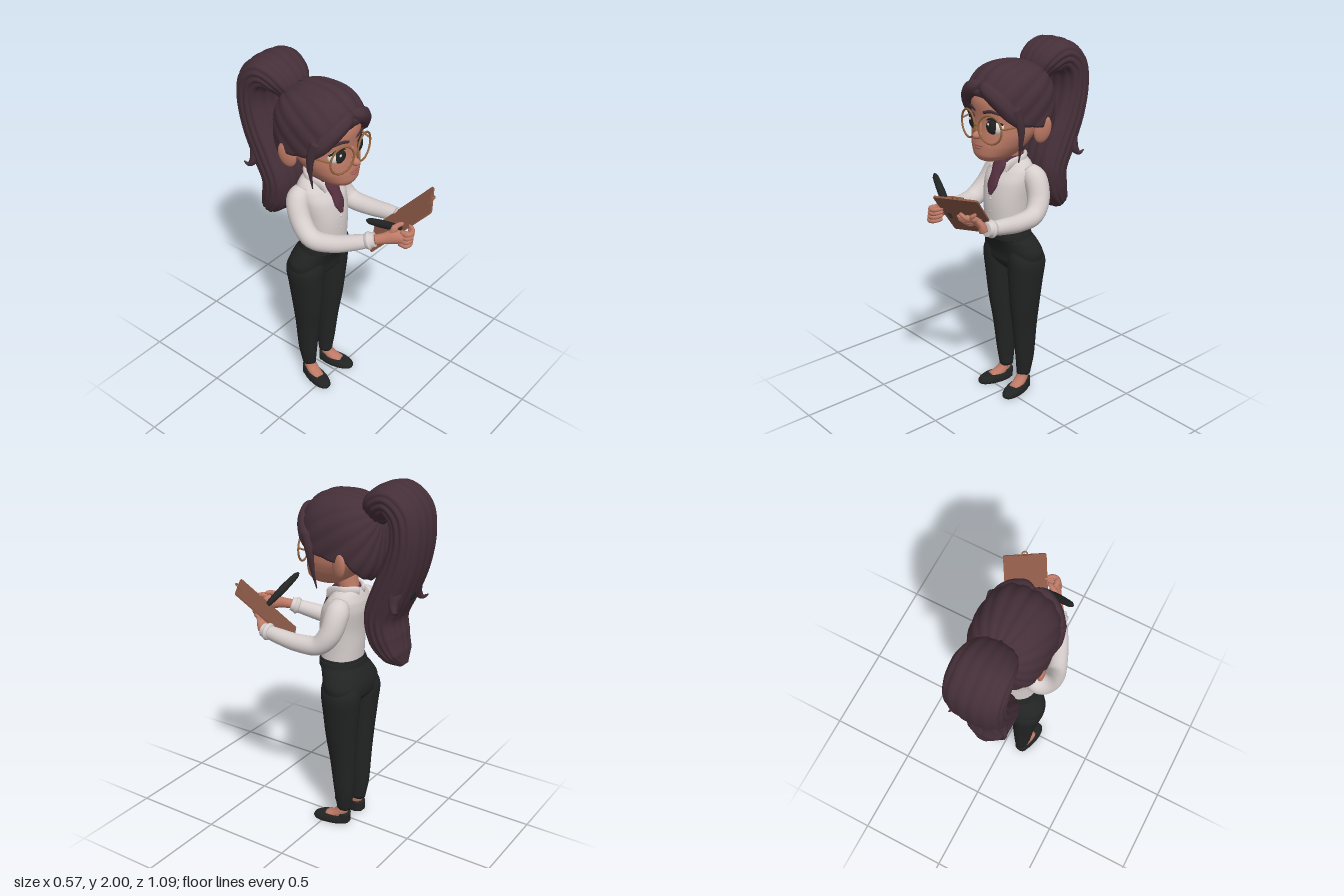
import * as THREE from 'three';

const V = (x, y, z) => new THREE.Vector3(x, y, z);
const mat = (name, color, side = THREE.FrontSide) => {
  const m = new THREE.MeshStandardMaterial({ color, side });
  m.name = name;
  return m;
};

// Loft an oval along points [x, y, z, halfWidth, halfDepth].
// side: direction of the width; up: fixed ring axis; p: squareness; ridges/amp: strand grooves.
function sweep(pts, { side = V(1, 0, 0), up = null, p = 2, ridges = 0, amp = 0.05, n = 28, steps = 6 } = {}) {
  const path = new THREE.CatmullRomCurve3(pts.map(q => V(q[0], q[1], q[2])));
  const size = new THREE.CatmullRomCurve3(pts.map(q => V(q[3], q[4] ?? q[3], 0)));
  const rows = (pts.length - 1) * steps, pos = [], idx = [];
  for (let i = 0; i <= rows; i++) {
    const c = path.getPoint(i / rows), r = size.getPoint(i / rows);
    const T = up ? up.clone() : path.getTangent(i / rows);
    const N = side.clone().addScaledVector(T, -side.dot(T)).normalize();
    const B = T.clone().cross(N);
    for (let j = 0; j < n; j++) {
      const a = j / n * Math.PI * 2, ca = Math.cos(a), sa = Math.sin(a);
      let k = Math.pow(Math.abs(ca) ** p + Math.abs(sa) ** p, -1 / p);
      if (ridges) k *= 1 - amp + amp * Math.abs(Math.sin(a * ridges / 2));
      const v = c.clone().addScaledVector(N, ca * k * r.x).addScaledVector(B, sa * k * r.y);
      pos.push(v.x, v.y, v.z);
    }
  }
  for (let i = 0; i < rows; i++) for (let j = 0; j < n; j++) {
    const a = i * n + j, b = i * n + (j + 1) % n;
    idx.push(a, b, b + n, a, b + n, a + n);
  }
  const first = pts[0], last = pts[pts.length - 1], s = pos.length / 3;
  pos.push(first[0], first[1], first[2], last[0], last[1], last[2]);
  for (let j = 0; j < n; j++) {
    const k = (j + 1) % n;
    idx.push(s, k, j, s + 1, rows * n + j, rows * n + k);
  }
  return finish(pos, idx);
}

function finish(pos, idx) {
  const g = new THREE.BufferGeometry();
  g.setAttribute('position', new THREE.Float32BufferAttribute(pos, 3));
  g.setIndex(idx);
  g.computeVertexNormals();
  return g;
}

// Combed hair shell: strands radiate from the ponytail tie to the hairline.
function hairCap() {
  const line = [[0, 125], [30, 124], [60, 121], [90, 112], [105, 97], [120, 78], [150, 78], [180, 80]];
  const edge = deg => {
    let i = 0;
    while (i < line.length - 2 && deg > line[i + 1][0]) i++;
    const [a, b] = [line[i], line[i + 1]];
    return THREE.MathUtils.degToRad(a[1] + (b[1] - a[1]) * (deg - a[0]) / (b[0] - a[0]));
  };
  const axis = V(0, 0.55, -0.835), top = V(0, 0.835, 0.55), rows = 24, n = 120, P = 2.5, pos = [], idx = [];
  for (let i = 0; i <= rows + 1; i++) for (let j = 0; j <= n; j++) {
    const phi = (j / n * 2 - 1) * Math.PI;
    const th = edge(Math.abs(phi) * 180 / Math.PI) * Math.min(i, rows) / rows;
    const d = axis.clone().multiplyScalar(Math.cos(th)).addScaledVector(top, Math.sin(th) * Math.cos(phi));
    d.x += Math.sin(th) * Math.sin(phi);
    let k = Math.pow(Math.abs(d.x) ** P + Math.abs(d.y) ** P + Math.abs(d.z) ** P, -1 / P);
    k *= 1 + 0.035 * Math.sin(th) * Math.abs(Math.sin(phi * 9));
    if (i > rows) k *= 0.86;
    pos.push(d.x * k * 0.2, 1.67 + d.y * k * 0.243, -0.07 + d.z * k * 0.23);
  }
  const w = n + 1;
  for (let i = 0; i <= rows; i++) for (let j = 0; j < n; j++) {
    const a = i * w + j;
    idx.push(a, a + w, a + w + 1, a, a + w + 1, a + 1);
  }
  return finish(pos, idx);
}

export function createModel() {
  const skin = mat('skin', 0xbd7a66), hair = mat('hair', 0x452f38, THREE.DoubleSide);
  const shirt = mat('shirt', 0xd6cecd), black = mat('trouserBlack', 0x222323);
  const brown = mat('boardBrown', 0x875644), gold = mat('frameGold', 0x95643c);
  const white = mat('eyeWhite', 0xe6e0da), scarf = mat('scarf', 0x55303f), lip = mat('lips', 0xa45e58);
  const root = new THREE.Group(), body = new THREE.Group();
  root.name = 'woman';
  body.name = 'body';
  body.position.x = -0.03;
  root.add(body);
  const add = (parent, name, geo, m) => {
    const mesh = new THREE.Mesh(geo, m);
    mesh.name = name;
    parent.add(mesh);
    return mesh;
  };
  const ball = (parent, name, m, x, y, z, rx, ry = rx, rz = rx) => {
    const b = add(parent, name, new THREE.SphereGeometry(1, 24, 16), m);
    b.position.set(x, y, z);
    b.scale.set(rx, ry, rz);
    return b;
  };
  const Y = V(0, 1, 0), flat = { up: Y, p: 2.25, n: 40 };
  const sideways = { side: V(0.3, 1, 0.2).normalize(), n: 12 };

  // Trousers and belt
  add(body, 'trouserSeat', sweep([[0, 0.755, -0.1, 0.06, 0.06], [0, 0.82, -0.1, 0.187, 0.112], [0, 0.87, -0.098, 0.195, 0.115],
    [0, 0.93, -0.077, 0.168, 0.115], [0, 0.98, -0.05, 0.135, 0.113], [0, 1.01, -0.047, 0.129, 0.112]], flat), black);
  add(body, 'belt', sweep([[0, 0.965, -0.052, 0.143, 0.118], [0, 0.995, -0.047, 0.135, 0.118]], flat), black);
  const buckle = add(body, 'buckle', new THREE.TorusGeometry(0.015, 0.004, 8, 4, Math.PI * 2), black);
  buckle.position.set(0, 0.98, 0.068);
  buckle.rotation.z = Math.PI / 4;

  for (const s of [-1, 1]) {
    add(body, 'trouserLeg', sweep([[0.075, 0.09, -0.11, 0.036, 0.041], [0.082, 0.2, -0.112, 0.045, 0.058],
      [0.086, 0.4, -0.106, 0.058, 0.076], [0.092, 0.55, -0.1, 0.072, 0.092], [0.097, 0.7, -0.1, 0.086, 0.105],
      [0.1, 0.82, -0.1, 0.096, 0.114], [0.085, 0.9, -0.09, 0.08, 0.1]].map(q => [q[0] * s, ...q.slice(1)]), { up: Y }), black);
    // Foot in a flat shoe, toes turned out
    const foot = new THREE.Group();
    foot.name = 'foot';
    foot.position.set(s * 0.077, 0, -0.105);
    foot.rotation.y = s * 0.22;
    body.add(foot);
    add(foot, 'ankle', sweep([[0, 0.13, 0, 0.03, 0.032], [0, 0.08, 0.005, 0.033, 0.035],
      [0, 0.05, 0.04, 0.035, 0.026], [0, 0.035, 0.1, 0.03, 0.015]]), skin);
    add(foot, 'shoe', sweep([[0, 0, 0.07, 0.046, 0.103], [0, 0.012, 0.07, 0.05, 0.108],
      [0, 0.03, 0.066, 0.047, 0.102], [0, 0.044, 0.056, 0.04, 0.088]], flat), black);
    add(foot, 'shoeHeel', sweep([[0, 0.01, -0.005, 0.04, 0.036], [0, 0.063, -0.008, 0.037, 0.034]], flat), black);
  }

  // Shirt, neck, collar and neck scarf
  add(body, 'shirtBody', sweep([[0, 0.985, -0.046, 0.124, 0.108], [0, 1.08, -0.045, 0.123, 0.115], [0, 1.18, -0.047, 0.13, 0.117],
    [0, 1.28, -0.065, 0.142, 0.115], [0, 1.34, -0.082, 0.138, 0.095], [0, 1.38, -0.09, 0.11, 0.073], [0, 1.41, -0.09, 0.066, 0.058]], flat), shirt);
  add(body, 'neck', sweep([[0, 1.34, -0.095, 0.055], [0, 1.4, -0.085, 0.054], [0, 1.48, -0.065, 0.06]]), skin);
  add(body, 'scarfBand', sweep([[0, 1.385, -0.083, 0.074, 0.073], [0, 1.415, -0.083, 0.063, 0.064]], flat), scarf);
  add(body, 'scarfDrop', sweep([[0, 1.41, -0.02, 0.02, 0.015], [0, 1.37, 0.004, 0.045, 0.02], [0, 1.32, 0.028, 0.034, 0.022],
    [0, 1.27, 0.053, 0.036, 0.016], [0, 1.215, 0.072, 0.01, 0.008]]), scarf);
  for (const s of [-1, 1]) {
    add(body, 'collar', sweep([[s * 0.02, 1.4, -0.16, 0.012, 0.022], [s * 0.075, 1.4, -0.1, 0.01, 0.024],
      [s * 0.065, 1.38, -0.015, 0.01, 0.026], [s * 0.06, 1.345, 0.015, 0.006, 0.006]]), shirt);
  }
  for (const y of [1.05, 1.12, 1.19]) ball(body, 'button', shirt, 0, y, 0.069, 0.008, 0.008, 0.005);

  // Sleeves and cuffs
  const arms = {
    left: [[0.075, 1.345, -0.1, 0.045], [0.125, 1.3, -0.11, 0.064], [0.168, 1.2, -0.095, 0.06], [0.192, 1.135, -0.04, 0.053],
      [0.208, 1.125, 0.08, 0.048], [0.215, 1.138, 0.2, 0.042], [0.213, 1.15, 0.3, 0.034]],
    right: [[-0.135, 1.345, -0.1, 0.045], [-0.18, 1.3, -0.1, 0.06], [-0.212, 1.2, -0.05, 0.057], [-0.222, 1.135, 0.03, 0.054],
      [-0.19, 1.135, 0.14, 0.049], [-0.14, 1.165, 0.25, 0.042], [-0.092, 1.195, 0.335, 0.034]],
  };
  for (const [name, pts] of Object.entries(arms)) {
    const opt = { side: V(name === 'left' ? 1 : 0.9, 0.1, name === 'left' ? 0 : -0.45).normalize(), n: 24 };
    add(root, name + 'Sleeve', sweep(pts, opt), shirt);
    const [a, b] = pts.slice(-2);
    const mix = (t, r) => [0, 1, 2].map(i => a[i] + (b[i] - a[i]) * t).concat(r);
    add(root, name + 'Cuff', sweep([mix(0.55, 0.041), mix(0.8, 0.041), mix(1.03, 0.037)], opt), shirt);
  }

  // Head and face
  add(body, 'head', sweep([[0, 1.407, 0.06, 0.025, 0.035], [0, 1.422, 0.042, 0.07, 0.09], [0, 1.45, 0.026, 0.103, 0.124],
    [0, 1.5, 0, 0.137, 0.15], [0, 1.56, -0.03, 0.16, 0.172], [0, 1.63, -0.05, 0.167, 0.186], [0, 1.72, -0.052, 0.168, 0.195],
    [0, 1.8, -0.06, 0.15, 0.17], [0, 1.87, -0.08, 0.08, 0.09]], flat), skin);
  ball(body, 'nose', skin, 0, 1.56, 0.152, 0.022, 0.021, 0.032);
  ball(body, 'noseBridge', skin, 0, 1.6, 0.13, 0.014, 0.045, 0.02);
  ball(body, 'upperLip', lip, 0, 1.506, 0.147, 0.034, 0.007, 0.011);
  ball(body, 'lowerLip', lip, 0, 1.493, 0.148, 0.024, 0.008, 0.012);
  for (const s of [-1, 1]) {
    ball(body, 'eye', white, s * 0.077, 1.61, 0.096, 0.052, 0.044, 0.036).rotation.y = s * 0.25;
    ball(body, 'iris', black, s * 0.074, 1.612, 0.119, 0.037, 0.039, 0.016).rotation.y = s * 0.15;
    ball(body, 'eyeGlint', white, s * 0.074 - 0.012, 1.626, 0.133, 0.008, 0.008, 0.004);
    add(body, 'lashes', sweep([[s * 0.028, 1.635, 0.126, 0.003], [s * 0.075, 1.656, 0.126, 0.006], [s * 0.132, 1.63, 0.094, 0.005]], sideways), black);
    add(body, 'eyebrow', sweep([[s * 0.03, 1.682, 0.137, 0.008, 0.005], [s * 0.08, 1.695, 0.129, 0.009, 0.006], [s * 0.13, 1.677, 0.1, 0.003]], sideways), hair);
    const ear = ball(body, 'ear', skin, s * 0.18, 1.575, -0.135, 0.022, 0.075, 0.047);
    ear.rotation.set(-0.2, s * -0.35, s * -0.15);
    // Round spectacles
    const rim = add(body, 'spectacleRim', new THREE.TorusGeometry(0.074, 0.0055, 8, 40), gold);
    rim.position.set(s * 0.087, 1.603, 0.143);
    rim.rotation.y = s * 0.22;
    add(body, 'spectacleArm', sweep([[s * 0.158, 1.615, 0.125, 0.005], [s * 0.182, 1.62, 0.02, 0.005], [s * 0.185, 1.62, -0.12, 0.005]], sideways), gold);
    // Swept fringe and loose side lock
    add(body, 'fringe', sweep([[0, 1.82, 0.12, 0.02], [s * 0.05, 1.8, 0.132, 0.04, 0.036], [s * 0.115, 1.755, 0.112, 0.046, 0.04],
      [s * 0.165, 1.69, 0.075, 0.042, 0.034], [s * 0.188, 1.61, 0.025, 0.01]], { side: V(0, 1, 0), ridges: 6 }), hair);
    add(body, 'sideLock', sweep([[s * 0.18, 1.72, 0.06, 0.03], [s * 0.196, 1.62, 0.03, 0.016, 0.024], [s * 0.185, 1.52, 0.02, 0.009, 0.012],
      [s * 0.16, 1.42, 0.012, 0.003]], { n: 12 }), hair);
    // Flick at the edge of the ponytail
    add(body, 'tailFlick', sweep([[s * 0.1, 1.46, -0.42, 0.04], [s * 0.125, 1.4, -0.425, 0.025], [s * 0.145, 1.375, -0.445, 0.012],
      [s * 0.155, 1.39, -0.47, 0.003]], { n: 12 }), hair);
  }
  add(body, 'spectacleBridge', sweep([[-0.016, 1.61, 0.158, 0.005], [0, 1.617, 0.163, 0.005], [0.016, 1.61, 0.158, 0.005]], sideways), gold);

  // Hair and ponytail
  add(body, 'combedHair', hairCap(), hair);
  add(body, 'ponytail', sweep([[0, 1.79, -0.23, 0.06, 0.05], [0, 1.875, -0.275, 0.125, 0.08], [0, 1.915, -0.36, 0.15, 0.087],
    [0, 1.86, -0.435, 0.154, 0.092], [0, 1.75, -0.457, 0.154, 0.088], [0, 1.6, -0.43, 0.152, 0.094], [0, 1.45, -0.37, 0.148, 0.1],
    [0, 1.3, -0.315, 0.142, 0.094], [0, 1.18, -0.337, 0.13, 0.09], [0, 1.09, -0.39, 0.1, 0.058], [0, 1.04, -0.43, 0.03, 0.015]],
  { p: 2.7, ridges: 16, n: 96, steps: 8 }), hair);
  const tie = add(body, 'hairTie', new THREE.TorusGeometry(0.058, 0.022, 12, 28), black);
  tie.position.set(0, 1.83, -0.235);
  tie.rotation.x = 0.75;
  ball(body, 'tailKnot', black, 0, 1.43, -0.457, 0.033, 0.033, 0.016).rotation.x = -0.35;

  // Clipboard: local y runs up the board, local z faces its underside
  const board = new THREE.Group();
  board.name = 'clipboard';
  const u = V(0.854, 0, -0.52).normalize(), w = u.clone().cross(V(0.377, 0.688, 0.62)).normalize();
  board.quaternion.setFromRotationMatrix(new THREE.Matrix4().makeBasis(u, w.clone().cross(u), w));
  board.position.set(0.115, 1.217, 0.352);
  root.add(board);
  const outline = new THREE.Shape(), hw = 0.115, hh = 0.206, c = 0.012;
  [[-hw, -hh, 0, 1], [hw, -hh, -1, 0], [hw, hh, 0, -1], [-hw, hh, 1, 0]].forEach(([x, y], i) => {
    const sx = Math.sign(x), sy = Math.sign(y), h = [x - sx * c, y], v = [x, y - sy * c];
    const [a, b] = i % 2 ? [h, v] : [v, h];
    i ? outline.lineTo(...a) : outline.moveTo(...a);
    outline.quadraticCurveTo(x, y, ...b);
  });
  add(board, 'board', new THREE.ExtrudeGeometry(outline, { depth: 0.01, bevelEnabled: false }), brown);
  add(board, 'clipPlate', new THREE.BoxGeometry(0.08, 0.022, 0.008), brown).position.set(0, 0.193, -0.004);
  add(board, 'clipRing', new THREE.TorusGeometry(0.013, 0.004, 8, 20), gold).position.set(0, 0.21, 0.002);

  // Left hand supports the board from below
  add(board, 'leftPalm', sweep([[0.1, -0.045, 0.065, 0.026], [0.088, -0.025, 0.045, 0.034, 0.022], [0.055, -0.005, 0.03, 0.04, 0.017],
    [0.035, 0, 0.026, 0.02, 0.012]], { side: V(0, 1, 0) }), skin);
  [[-0.028, -0.05], [-0.042, -0.018], [-0.038, 0.02], [-0.018, 0.05], [0.06, 0.062]].forEach(([x, y], i) =>
    add(board, 'leftFinger', sweep([[i < 4 ? 0.05 : 0.085, i < 4 ? -0.03 + i * 0.017 : 0, 0.03, 0.012],
      [x * 0.5 + 0.02, y * 0.75, 0.032, 0.012], [x + 0.008, y, 0.022, 0.01], [x, y, 0.019, 0.004]], { side: V(0, 0, 1), n: 12 }), skin));

  // Right hand and pen
  add(root, 'rightPalm', sweep([[-0.092, 1.195, 0.335, 0.026], [-0.065, 1.203, 0.37, 0.025, 0.029], [-0.03, 1.213, 0.41, 0.033, 0.038],
    [-0.008, 1.215, 0.45, 0.03, 0.033], [0, 1.215, 0.468, 0.012]]), skin);
  for (let i = 0; i < 4; i++) {
    const y = 1.182 + i * 0.021, x = i * 0.004;
    add(root, 'rightFinger', sweep([[-0.025 + x, y, 0.44, 0.013], [-0.015 + x, y, 0.485, 0.013], [0.018 + x, y + 0.004, 0.482, 0.012],
      [0.038 + x, y + 0.012, 0.452, 0.01], [0.04 + x, y + 0.014, 0.445, 0.004]], { side: Y, n: 12 }), skin);
  }
  add(root, 'rightThumb', sweep([[-0.04, 1.235, 0.4, 0.014], [-0.015, 1.268, 0.41, 0.014], [0.015, 1.275, 0.425, 0.011], [0.025, 1.272, 0.43, 0.004]], sideways), skin);
  add(root, 'pen', sweep([[-0.162, 1.357, 0.336, 0.006], [-0.145, 1.345, 0.342, 0.016], [-0.06, 1.288, 0.369, 0.021],
    [0.03, 1.228, 0.397, 0.016], [0.07, 1.2, 0.41, 0.004]], { side: V(0, 0, 1), n: 16 }), black);
  return root;
}
